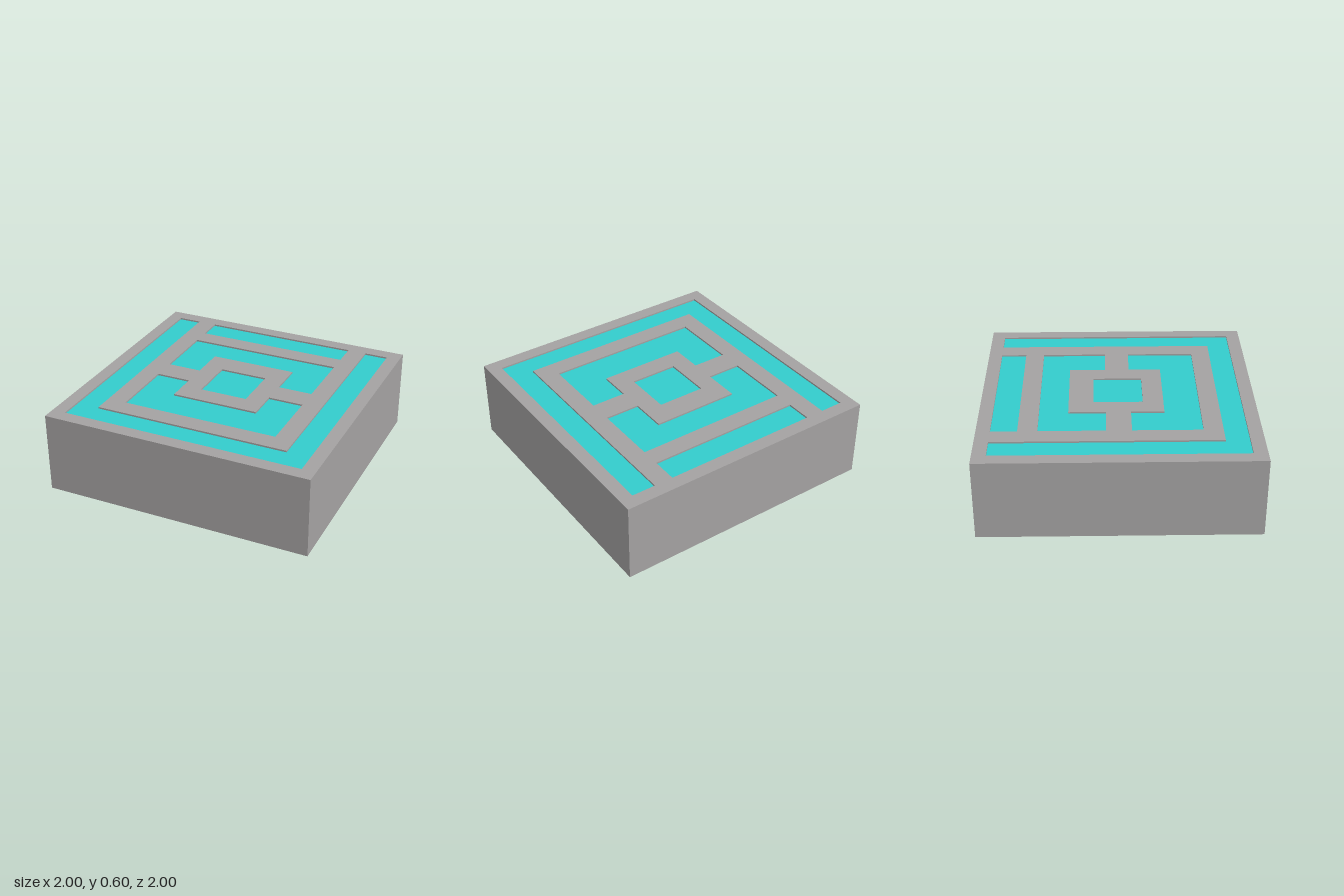
import * as THREE from 'three';

const HEIGHT = 0.6, RECESS = 0.012;
const FLOOR = HEIGHT - RECESS;

// Inlay outlines: right half as [x, z], mirrored across x = 0
const OUTLINES = {
  outerChannel: [[0.725, 0.73], [0.725, -0.9], [0.9, -0.9], [0.9, 0.9]],
  backBar: [[0.585, -0.9], [0.585, -0.71]],
  backBracket: [[0.585, -0.57], [0.585, -0.09], [0.325, -0.09], [0.325, -0.36]],
  frontBracket: [[0.325, 0.33], [0.325, 0.09], [0.585, 0.09], [0.585, 0.59]],
  centreSquare: [[0.18, -0.18], [0.18, 0.18]],
};

// Full outline in the shape plane (y = -z), counter-clockwise
function outline(half) {
  const right = half.map(([x, z]) => new THREE.Vector2(x, -z));
  const left = right.map((p) => new THREE.Vector2(-p.x, p.y)).reverse();
  const pts = [...right, ...left];
  return THREE.ShapeUtils.isClockWise(pts) ? pts.reverse() : pts;
}

// Flat shape laid horizontally at height y
function flat(shape, y) {
  return new THREE.ShapeGeometry(shape).rotateX(-Math.PI / 2).translate(0, y, 0);
}

// Inward-facing vertical walls of one recess
function recessWalls(pts) {
  const pos = [];
  pts.forEach((a, i) => {
    const b = pts[(i + 1) % pts.length];
    const corners = [[b, FLOOR], [a, FLOOR], [a, HEIGHT], [b, HEIGHT]];
    for (const k of [0, 1, 2, 0, 2, 3]) {
      const [p, y] = corners[k];
      pos.push(p.x, y, -p.y);
    }
  });
  const geo = new THREE.BufferGeometry();
  geo.setAttribute('position', new THREE.Float32BufferAttribute(pos, 3));
  geo.computeVertexNormals();
  return geo;
}

export function createModel() {
  const group = new THREE.Group();
  const stone = new THREE.MeshStandardMaterial({ color: 0xa4a2a2 });
  const inlay = new THREE.MeshStandardMaterial({ color: 0x33cccc });
  const add = (name, geo, mat) => {
    const mesh = new THREE.Mesh(geo, mat);
    mesh.name = name;
    group.add(mesh);
  };

  // Block sides and underside: a box without its top face
  const block = new THREE.BoxGeometry(2, HEIGHT, 2).translate(0, HEIGHT / 2, 0);
  const index = Array.from(block.index.array);
  index.splice(12, 6);
  block.setIndex(index);
  block.clearGroups();
  add('block', block, stone);

  // Top face, cut through by the recesses
  const top = new THREE.Shape([[-1, -1], [1, -1], [1, 1], [-1, 1]].map(([x, y]) => new THREE.Vector2(x, y)));

  // Sunken coloured inlays with their walls
  for (const [name, half] of Object.entries(OUTLINES)) {
    const pts = outline(half);
    top.holes.push(new THREE.Path(pts));
    add(name + 'Inlay', flat(new THREE.Shape(pts), FLOOR), inlay);
    add(name + 'Walls', recessWalls(pts), stone);
  }
  add('topFace', flat(top, HEIGHT), stone);

  return group;
}
